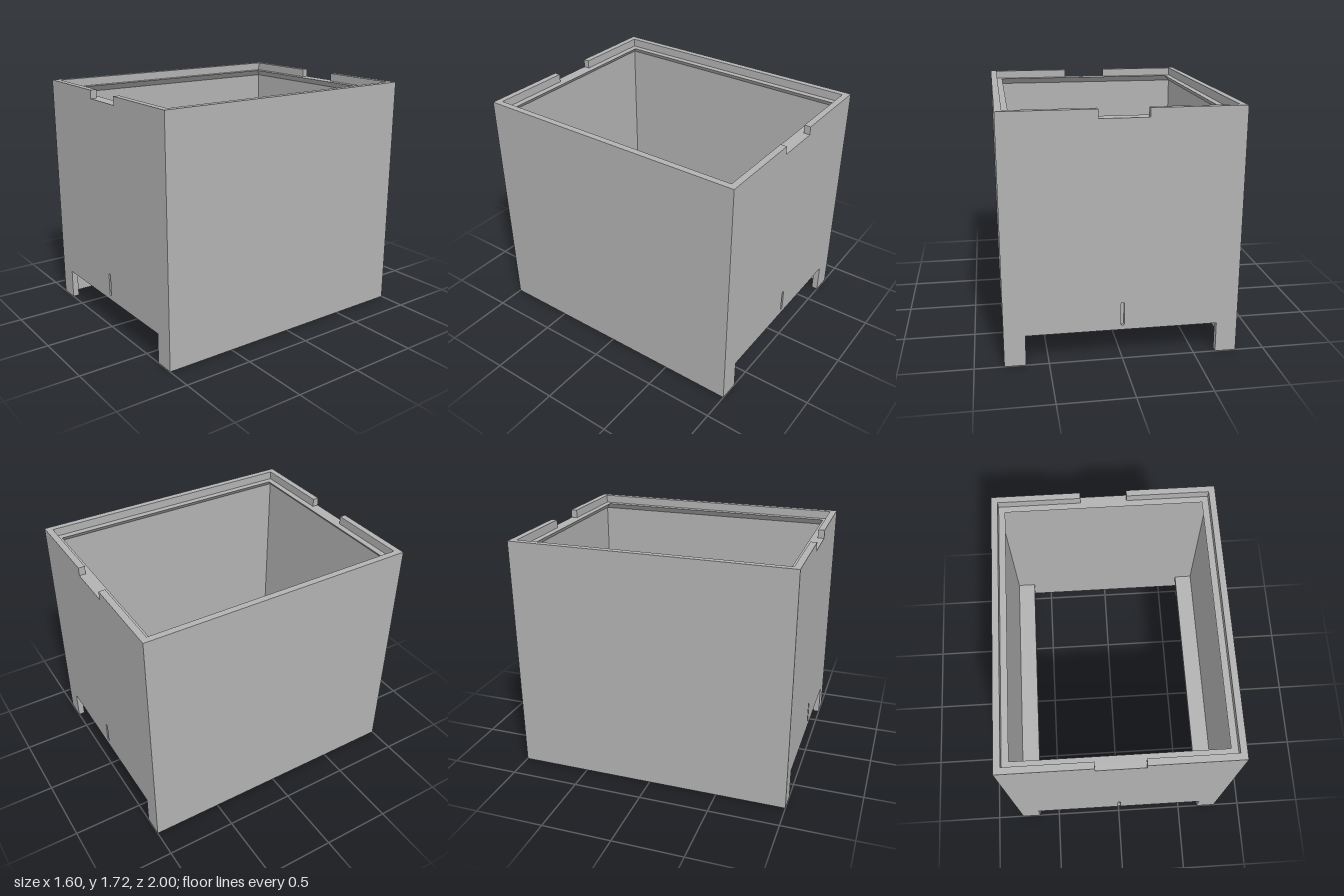
import * as THREE from 'three';

const W = 0.8, D = 1, H = 1.72, T = 0.046;   // half width, half depth, height, wall thickness
const LEDGE = 1.66;                          // height of the inner ledge and rim notches
const SLOT_DEPTH = 0.023;

export function createModel() {
  const group = new THREE.Group();
  const grey = new THREE.MeshStandardMaterial({ color: 0xb2b2b2 });
  grey.name = 'grey';

  const add = (parent, geometry, name, x = 0, y = 0, z = 0) => {
    const mesh = new THREE.Mesh(geometry, grey);
    mesh.name = name;
    mesh.position.set(x, y, z);
    parent.add(mesh);
    return mesh;
  };

  const extrude = (shape, depth) =>
    new THREE.ExtrudeGeometry(shape, { depth, bevelEnabled: false, curveSegments: 8 });

  // End panel outline: legs at the bottom, finger notch at the top
  const panel = () => new THREE.Shape([
    [-W, 0], [-0.655, 0], [-0.655, 0.215], [0.655, 0.215], [0.655, 0], [W, 0],
    [W, H], [0.165, H], [0.165, LEDGE], [-0.165, LEDGE], [-0.165, H], [-W, H],
  ].map(([x, y]) => new THREE.Vector2(x, y)));

  // Narrow upright slot with rounded ends
  const slot = new THREE.Path();
  const r = 0.011;
  slot.absarc(0, 0.415 - r, r, 0, Math.PI, false);
  slot.absarc(0, 0.245 + r, r, Math.PI, Math.PI * 2, false);
  slot.closePath();

  // Front and back walls: slotted outer skin over a plain inner skin
  const outer = panel();
  outer.holes.push(slot);
  const outerSkin = extrude(outer, SLOT_DEPTH);
  const innerSkin = extrude(panel(), T - SLOT_DEPTH);
  for (const [name, turn] of [['frontWall', 0], ['backWall', Math.PI]]) {
    const wall = new THREE.Group();
    wall.name = name;
    wall.rotation.y = turn;
    add(wall, outerSkin, 'slottedSkin', 0, 0, D - SLOT_DEPTH);
    add(wall, innerSkin, 'innerSkin', 0, 0, D - T);
    group.add(wall);
  }

  // Side walls, each with a stacking rail that is sloped underneath
  const railShape = new THREE.Shape([
    [W - T, 0.21], [W - T, 0.39], [0.62, 0.39], [0.62, 0.345],
  ].map(([x, y]) => new THREE.Vector2(x, y)));
  const rail = extrude(railShape, 2 * (D - T));
  const sideWall = new THREE.BoxGeometry(T, H, 2 * (D - T));
  for (const [side, s] of [['left', 1], ['right', -1]]) {
    add(group, sideWall, side + 'Wall', s * (W - T / 2), H / 2, 0);
    const mesh = add(group, rail, side + 'Rail', 0, 0, -s * (D - T));
    if (s < 0) mesh.rotation.y = Math.PI;
  }

  // Lid ledge: a mitred frame, flat on top and chamfered below
  const profile = [[0, LEDGE], [T, LEDGE], [0, LEDGE - T]];
  const corners = [[1, 1], [1, -1], [-1, -1], [-1, 1]];
  const point = (c, [inset, y]) => [c[0] * (W - T - inset), y, c[1] * (D - T - inset)];
  const positions = [];
  corners.forEach((c, i) => {
    const next = corners[(i + 1) % 4];
    for (let k = 0; k < 2; k++) {
      const a = point(c, profile[k]), b = point(next, profile[k]);
      const e = point(c, profile[k + 1]), f = point(next, profile[k + 1]);
      positions.push(...a, ...b, ...e, ...e, ...b, ...f);
    }
  });
  const ledge = new THREE.BufferGeometry();
  ledge.setAttribute('position', new THREE.Float32BufferAttribute(positions, 3));
  ledge.computeVertexNormals();
  add(group, ledge, 'lidLedge');

  return group;
}
